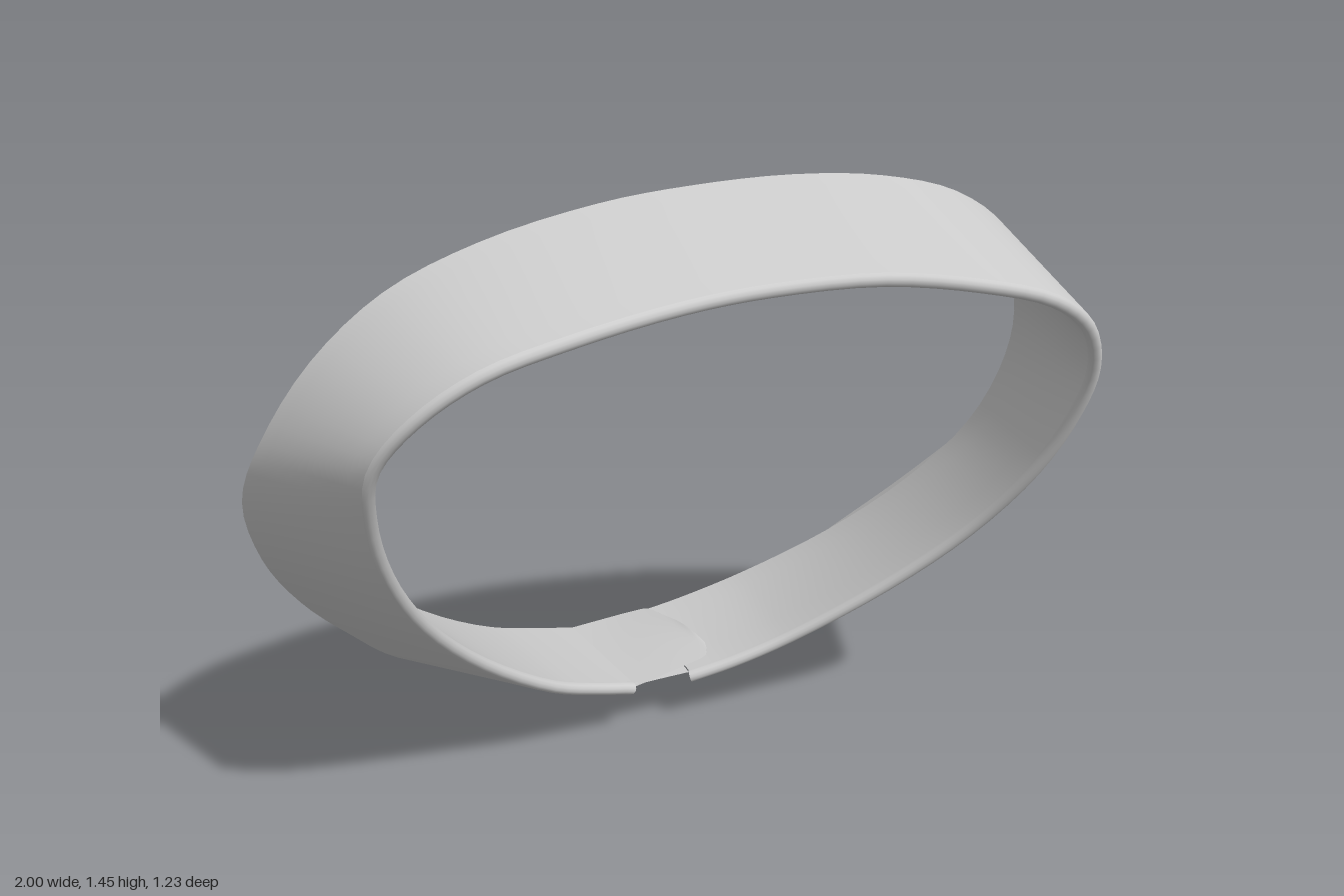
import * as THREE from 'three';

const V = (p) => new THREE.Vector3(...p);
const spline = (pts) => new THREE.CatmullRomCurve3(pts.map(V), false, 'centripetal');

// Stations run from the right tail, over the neck, to the left tail.
const foldPts = [
  [-.07, .145, -.04], [-.17, .175, -.02], [-.3, .23, .022], [-.5, .375, .11], [-.665, .56, .23],
  [-.765, .74, .345], [-.815, .91, .44], [-.82, 1.035, .51], [-.75, 1.14, .565], [-.63, 1.22, .595],
  [-.45, 1.265, .59], [-.2, 1.295, .555], [0, 1.305, .54], [.25, 1.305, .555], [.47, 1.275, .585],
  [.65, 1.225, .59], [.76, 1.15, .57], [.82, 1.04, .525], [.825, .92, .47], [.79, .75, .38],
  [.7, .56, .255], [.55, .39, .135], [.34, .235, .022], [.2, .175, -.018], [.09, .145, -.04],
];
const leafPts = [
  [-.28, .025, -.5], [-.39, .003, -.59], [-.53, .05, -.6], [-.69, .22, -.46], [-.84, .42, -.275],
  [-.95, .625, -.105], [-1, .82, .02], [-.97, .99, .135], [-.865, 1.17, .195], [-.71, 1.3, .205],
  [-.5, 1.38, .19], [-.22, 1.43, .155], [0, 1.447, .14], [.25, 1.453, .145], [.47, 1.437, .165],
  [.67, 1.385, .17], [.82, 1.285, .16], [.94, 1.12, .11], [.995, .92, .03], [.98, .72, -.1],
  [.88, .48, -.305], [.75, .27, -.487], [.615, .11, -.6], [.47, .055, -.605], [.34, .058, -.5],
];
const bandPts = [
  [-.1, .155, -.385], [-.2, .18, -.37], [-.35, .24, -.31], [-.56, .39, -.165], [-.74, .575, -.01],
  [-.84, .76, .09], [-.89, .915, .15], [-.88, 1.055, .185], [-.8, 1.18, .2], [-.67, 1.275, .2],
  [-.48, 1.34, .19], [-.21, 1.385, .165], [0, 1.405, .153], [.25, 1.405, .155], [.46, 1.38, .168],
  [.65, 1.335, .17], [.79, 1.25, .16], [.88, 1.1, .13], [.91, .93, .07], [.875, .73, -.02],
  [.77, .54, -.14], [.61, .36, -.28], [.4, .235, -.37], [.22, .185, -.385], [.1, .165, -.385],
];

// Skins a grid of rows of points
function loft(name, rows) {
  const w = rows[0].length, index = [];
  for (let i = 0; i < rows.length - 1; i++) {
    for (let j = 0; j < w - 1; j++) {
      const a = i * w + j, b = a + w;
      index.push(a, b, a + 1, b, b + 1, a + 1);
    }
  }
  const geo = new THREE.BufferGeometry().setFromPoints(rows.flat());
  geo.setIndex(index);
  geo.computeVertexNormals();
  const mat = new THREE.MeshStandardMaterial({ color: 0xcccccc, side: THREE.DoubleSide });
  const mesh = new THREE.Mesh(geo, mat);
  mesh.name = name;
  return mesh;
}

// Straight run of points from a to b
const run = (a, b, n) => Array.from({ length: n + 1 }, (_, j) => a.clone().lerp(b, j / n));

// Arched sheet between two edge curves, lowered by drop
function strip(name, edgeA, edgeB, arch, drop, n = 12, m = 6) {
  const a = spline(edgeA), b = spline(edgeB), rows = [];
  for (let i = 0; i <= n; i++) {
    const row = run(a.getPoint(i / n), b.getPoint(i / n), m);
    row.forEach((p, j) => { p.y += arch * Math.sin(Math.PI * j / m) * i / n - drop; });
    rows.push(row);
  }
  return loft(name, rows);
}

export function createModel() {
  const group = new THREE.Group();
  group.name = 'shirtCollar';

  const fold = spline(foldPts), leaf = spline(leafPts), band = spline(bandPts);
  const N = (foldPts.length - 1) * 4, r = 0.016;
  const bandRows = [], foldRows = [], leafRows = [];
  for (let i = 0; i <= N; i++) {
    const t = i / N;
    const F = fold.getPoint(t), L = leaf.getPoint(t), B = band.getPoint(t);
    const d = L.clone().sub(F).normalize();
    const n = fold.getTangent(t).cross(d).normalize();
    const inner = F.clone().addScaledVector(n, -0.5 * r);
    const outer = F.clone().addScaledVector(n, 1.5 * r);

    // inner stand, rounded crease, turned-down leaf
    bandRows.push(run(B, inner, 5));
    const foldRow = [];
    for (let j = 0; j <= 6; j++) {
      const a = Math.PI * j / 6;
      foldRow.push(inner.clone().addScaledVector(n, r - r * Math.cos(a)).addScaledVector(d, -r * Math.sin(a)));
    }
    foldRows.push(foldRow);
    leafRows.push(run(outer, L, 8));
  }
  group.add(loft('collarStand', bandRows));
  group.add(loft('foldedEdge', foldRows));
  group.add(loft('collarLeaf', leafRows));

  // stand ends that lap over each other at the closure
  const tabBack = [[-.1, .155, -.385], [0, .165, -.383], [.07, .175, -.375], [.11, .18, -.365], [.13, .185, -.3]];
  const tabFront = [[-.07, .148, -.04], [0, .162, -.042], [.09, .178, -.05], [.145, .188, -.06], [.16, .192, -.1]];
  group.add(strip('overlapTab', tabBack, tabFront, 0.012, 0));
  group.add(strip('overlapTabLining', tabBack, tabFront, 0.012, 0.012));
  group.add(strip('underlapTab',
    [[.1, .165, -.385], [.02, .15, -.385], [-.06, .14, -.385]],
    [[.09, .145, -.045], [.02, .143, -.045], [-.06, .14, -.045]], 0.005, 0));

  return group;
}
